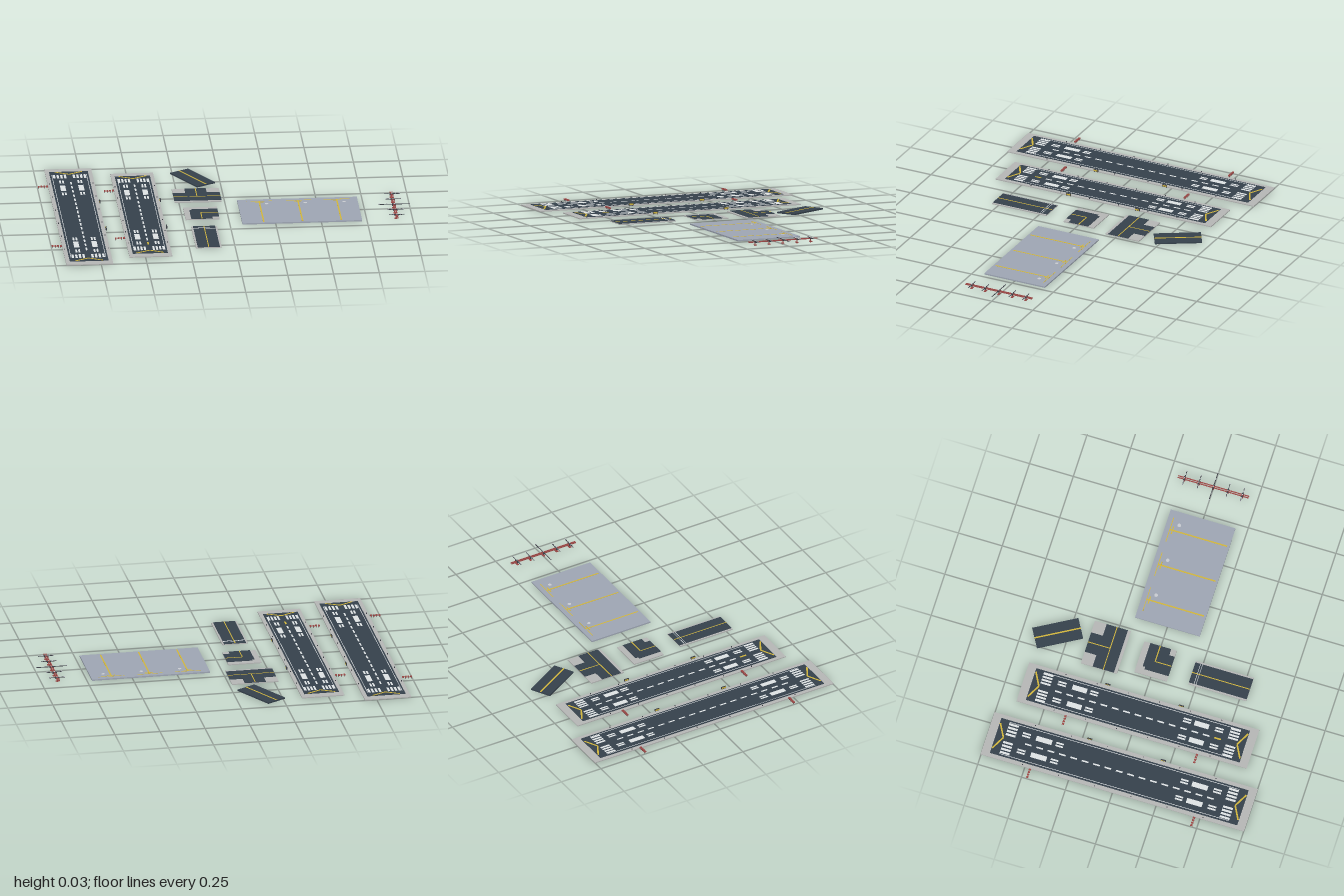
import * as THREE from 'three';
import { mergeGeometries } from 'three/addons/utils/BufferGeometryUtils.js';

const mat = (name, color) => {
  const m = new THREE.MeshStandardMaterial({ color });
  m.name = name;
  return m;
};

// Heights of the stacked layers
const BASE = 0.0055, ROAD = 0.0075, PAINT = 0.0083;

// Box from its limits
function box(x0, x1, y0, y1, z0, z1) {
  return new THREE.BoxGeometry(x1 - x0, y1 - y0, z1 - z0)
    .translate((x0 + x1) / 2, (y0 + y1) / 2, (z0 + z1) / 2);
}
// Painted strip between two ground points
function strip(x0, z0, x1, z1, w, y = ROAD) {
  return new THREE.BoxGeometry(w, PAINT - ROAD, Math.hypot(x1 - x0, z1 - z0))
    .rotateY(Math.atan2(x1 - x0, z1 - z0))
    .translate((x0 + x1) / 2, y + (PAINT - ROAD) / 2, (z0 + z1) / 2);
}

export function createModel() {
  const concrete = mat('concrete', 0xb6b7b6);
  const asphalt = mat('asphalt', 0x35414c);
  const apronGrey = mat('apron grey', 0x9ea6b4);
  const white = mat('white paint', 0xdfe3e4);
  const yellow = mat('yellow paint', 0xd2b63c);
  const red = mat('red metal', 0xa04a48);
  const dark = mat('dark metal', 0x3c3f46);
  const pale = mat('pale lamp', 0xc9ccd2);

  const model = new THREE.Group();
  model.name = 'airfieldSet';
  const group = (name) => {
    const g = new THREE.Group();
    g.name = name;
    model.add(g);
    return g;
  };
  const add = (parent, name, material, ...geos) => {
    const m = new THREE.Mesh(geos.length > 1 ? mergeGeometries(geos) : geos[0], material);
    m.name = name;
    parent.add(m);
    return m;
  };

  // Runway with all its markings, lights and signs
  function runway(name, cx, o) {
    const g = group(name);
    add(g, 'shoulder', concrete, box(cx - o.bw, cx + o.bw, 0, BASE, -o.bl, o.bl));
    add(g, 'tarmac', asphalt, box(cx - o.w, cx + o.w, BASE, ROAD, -o.l, o.l));
    const w = [], y = [], lamps = [], papi = [], legs = [], signs = [], plates = [];
    for (const s of [-1, 1]) {
      // Side lines
      w.push(strip(cx + s * (o.w - 0.011), -o.keys[1], cx + s * (o.w - 0.011), o.keys[1], 0.003));
      // Threshold keys
      for (const side of [-1, 1]) for (let i = 0; i < 4; i++) {
        const x = cx + side * (0.024 + i * o.keyStep);
        w.push(strip(x, s * o.keys[0], x, s * o.keys[1], o.keyStep * 0.62));
      }
      // Touchdown bars and aiming blocks
      for (const side of [-1, 1]) {
        const x = cx + side * o.mark;
        w.push(strip(x, s * o.aim[0], x, s * o.aim[1], 0.029));
        o.bars.forEach(([a, b]) => {
          for (const d of [-0.008, 0.008]) w.push(strip(x + d, s * a, x + d, s * b, 0.01));
        });
        // Yellow chevron
        y.push(strip(cx + side * o.vw, s * (o.l - 0.004), cx, s * (o.l - 0.044), 0.009));
      }
      // Edge lamps
      for (let i = 0; i < 6; i++) {
        const z = -o.l * 0.73 + i * o.l * 0.292, x = cx + s * (o.bw - 0.009);
        lamps.push(box(x - 0.002, x + 0.002, BASE, 0.011, z - 0.002, z + 0.002));
      }
      // Glide lamps beside the runway
      for (let i = 0; i < 4; i++) {
        const x = cx - o.bw - 0.008 - i * 0.015;
        papi.push(box(x - 0.0045, x + 0.0045, 0.008, 0.015, s * o.papi - 0.006, s * o.papi + 0.006));
        legs.push(box(x - 0.001, x + 0.001, 0, 0.008, s * o.papi - 0.001, s * o.papi + 0.001));
      }
      // Sign boards
      const sx = cx + o.bw + 0.004;
      signs.push(box(sx - 0.003, sx + 0.003, 0.005, 0.017, s * 0.21 - 0.014, s * 0.21 + 0.014));
      for (const d of [-0.01, 0.01]) {
        legs.push(box(sx - 0.001, sx + 0.001, 0, 0.005, s * 0.21 + d - 0.001, s * 0.21 + d + 0.001));
      }
      plates.push(box(sx + s * 0.003 - 0.0003, sx + s * 0.003 + 0.0003, 0.007, 0.015, -0.222, -0.198),
        box(sx + s * 0.003 - 0.0003, sx + s * 0.003 + 0.0003, 0.007, 0.015, 0.198, 0.222));
    }
    // Centre dashes
    const n = Math.floor(o.dash / 0.065);
    for (let i = -n; i <= n; i++) {
      const list = o.yellowEnd && i >= n ? y : w;
      list.push(strip(cx, i * 0.065 - 0.019, cx, i * 0.065 + 0.019, 0.009));
    }
    add(g, 'whiteMarkings', white, ...w);
    add(g, 'yellowMarkings', yellow, ...y);
    add(g, 'edgeLamps', dark, ...lamps);
    add(g, 'glideLamps', red, ...papi);
    add(g, 'legs', dark, ...legs);
    add(g, 'signs', dark, ...signs);
    add(g, 'signFaces', yellow, ...plates);
  }
  runway('wideRunway', -0.8125, {
    bw: 0.128, bl: 0.752, w: 0.106, l: 0.706, keys: [0.6, 0.656], keyStep: 0.02, mark: 0.05,
    aim: [0.4, 0.49], bars: [[0.335, 0.378], [0.522, 0.568]], vw: 0.075, papi: 0.469, dash: 0.53,
  });
  runway('narrowRunway', -0.4705, {
    bw: 0.117, bl: 0.657, w: 0.096, l: 0.61, keys: [0.507, 0.563], keyStep: 0.018, mark: 0.05,
    aim: [0.307, 0.39], bars: [[0.243, 0.288], [0.425, 0.472]], vw: 0.075, papi: 0.375, dash: 0.5, yellowEnd: true,
  });

  // Loose angled taxiway piece
  const angled = group('angledTaxiway');
  angled.position.set(-0.145, 0, -0.56);
  angled.rotation.y = Math.PI / 6;
  add(angled, 'tarmac', asphalt, box(-0.06, 0.06, 0, ROAD, -0.129, 0.129));
  add(angled, 'centreLine', yellow, strip(0, -0.129, 0, 0.129, 0.008));

  // T junction
  const tee = group('junctionTaxiway');
  add(tee, 'shoulder', concrete, box(-0.273, -0.016, 0, BASE, -0.387, -0.182));
  add(tee, 'tarmac', asphalt, box(-0.273, -0.016, BASE, ROAD, -0.32, -0.199),
    box(-0.204, -0.087, BASE, ROAD, -0.387, -0.32));
  add(tee, 'centreLine', yellow, strip(-0.273, -0.26, -0.016, -0.26, 0.005),
    strip(-0.145, -0.387, -0.145, -0.2625, 0.005));

  // Corner
  const corner = group('cornerTaxiway');
  add(corner, 'shoulder', concrete, box(-0.235, -0.05, 0, BASE, -0.094, 0.091));
  add(corner, 'tarmac', asphalt, box(-0.204, -0.087, BASE, ROAD, -0.045, 0.091),
    box(-0.19, -0.087, BASE, ROAD, -0.06, -0.045), box(-0.087, -0.05, BASE, ROAD, -0.06, 0.059));
  add(corner, 'centreLine', yellow, strip(-0.145, -0.003, -0.05, -0.003, 0.006),
    strip(-0.145, 0, -0.145, 0.091, 0.005));

  // Straight with holding bars
  const straight = group('straightTaxiway');
  add(straight, 'shoulder', concrete, box(-0.215, -0.074, 0, BASE, 0.208, 0.538));
  add(straight, 'tarmac', asphalt, box(-0.205, -0.084, BASE, ROAD, 0.208, 0.538));
  add(straight, 'centreLine', yellow, strip(-0.145, 0.208, -0.145, 0.538, 0.005));
  add(straight, 'holdingBars', white, strip(-0.205, 0.238, -0.084, 0.238, 0.003),
    strip(-0.205, 0.249, -0.084, 0.249, 0.003));

  // Parking apron with three stands
  const apron = group('apron');
  add(apron, 'slab', apronGrey, box(0.068, 0.723, 0, ROAD, -0.185, 0.185));
  for (const x of [0.186, 0.398, 0.61]) {
    add(apron, 'standLine', yellow, strip(x, -0.155, x, 0.172, 0.008),
      strip(x - 0.072, -0.155, x + 0.072, -0.155, 0.004), strip(x - 0.022, -0.14, x + 0.022, -0.14, 0.006));
    add(apron, 'standPad', pale, new THREE.CylinderGeometry(0.01, 0.01, 0.001, 12)
      .translate(x + 0.038, ROAD + 0.0004, -0.113));
  }

  // Approach light frame
  const lights = group('approachLights');
  add(lights, 'rails', red, ...[-0.005, 0.005].map((d) => box(0.912 + d - 0.0025, 0.912 + d + 0.0025, 0.02, 0.025, -0.203, 0.203)));
  const posts = [], bars = [], lamps = [];
  for (let i = -2; i <= 2; i++) {
    const z = i * 0.0825, half = i ? 0.043 : 0.086;
    posts.push(box(0.91, 0.914, 0, 0.028, z - 0.002, z + 0.002),
      box(0.902, 0.922, 0.004, 0.008, z - 0.006, z + 0.006));
    bars.push(box(0.914 - half, 0.914 + half, 0.025, 0.028, z - 0.002, z + 0.002));
    for (let k = -2; k <= 2; k++) {
      const x = 0.914 + k * (half - 0.003) / 2;
      lamps.push(box(x - 0.003, x + 0.003, 0.028, 0.031, z - 0.002, z + 0.002));
    }
    for (const s of [-1, 1]) bars.push(box(0.909 + s * 0.008, 0.915 + s * 0.008, 0.019, 0.026, z - 0.006, z + 0.006));
  }
  add(lights, 'posts', red, ...posts);
  add(lights, 'crossBars', dark, ...bars);
  add(lights, 'lamps', pale, ...lamps);
  return model;
}
